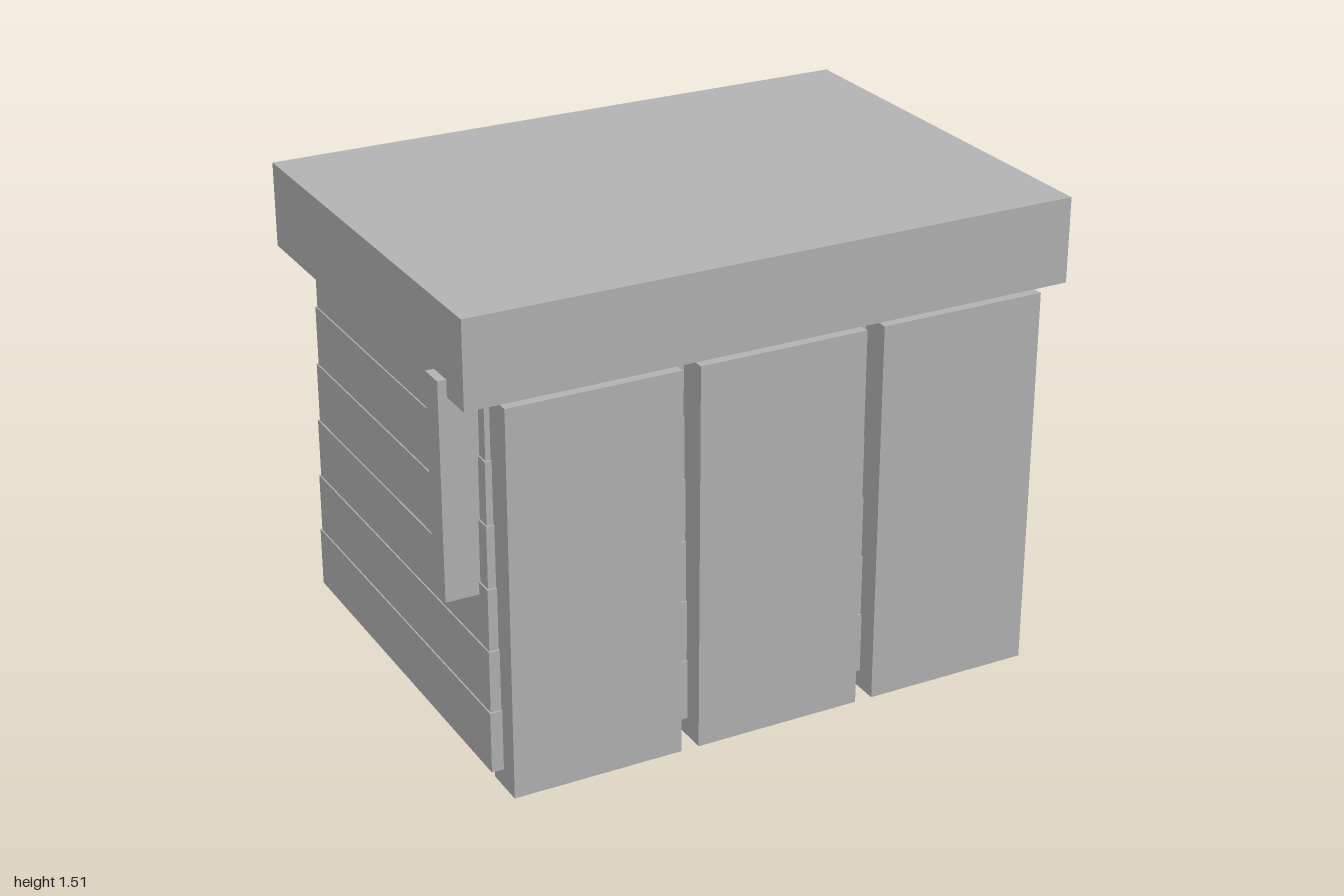
import * as THREE from 'three';

export function createModel() {
  const group = new THREE.Group();
  const grey = new THREE.MeshStandardMaterial({ color: 0xb2b2b2 });
  grey.name = 'grey';

  // Box given by its extents on each axis
  function box(name, [x0, x1], [y0, y1], [z0, z1]) {
    const mesh = new THREE.Mesh(new THREE.BoxGeometry(x1 - x0, y1 - y0, z1 - z0), grey);
    mesh.position.set((x0 + x1) / 2, (y0 + y1) / 2, (z0 + z1) / 2);
    mesh.name = name;
    group.add(mesh);
  }

  // Body: stacked courses, each set back slightly from the one below
  const courses = 6, bottom = 0.06, height = 0.1962;
  for (let i = 0; i < courses; i++) {
    const dx = i * 0.0043, dz = i * 0.006, y = bottom + i * height;
    box('bodyCourse' + (i + 1),
      [-0.904 + dx, 0.925 - dx], [y, y + height], [-0.667 + dz, 0.641 - dz]);
  }

  // Overhanging lid
  box('lid', [-0.973, 0.998], [1.237, 1.508], [-0.712, 0.684]);

  // Three upright panels across the front
  for (let i = 0; i < 3; i++) {
    const x = -0.866 + i * 0.604;
    box('frontPanel' + (i + 1), [x, x + 0.546], [0, 1.235], [0.576, 0.711]);
  }

  // Upright bar on the side
  box('sideBar', [-1, -0.86], [0.609, 1.29], [0.49, 0.572]);

  return group;
}
